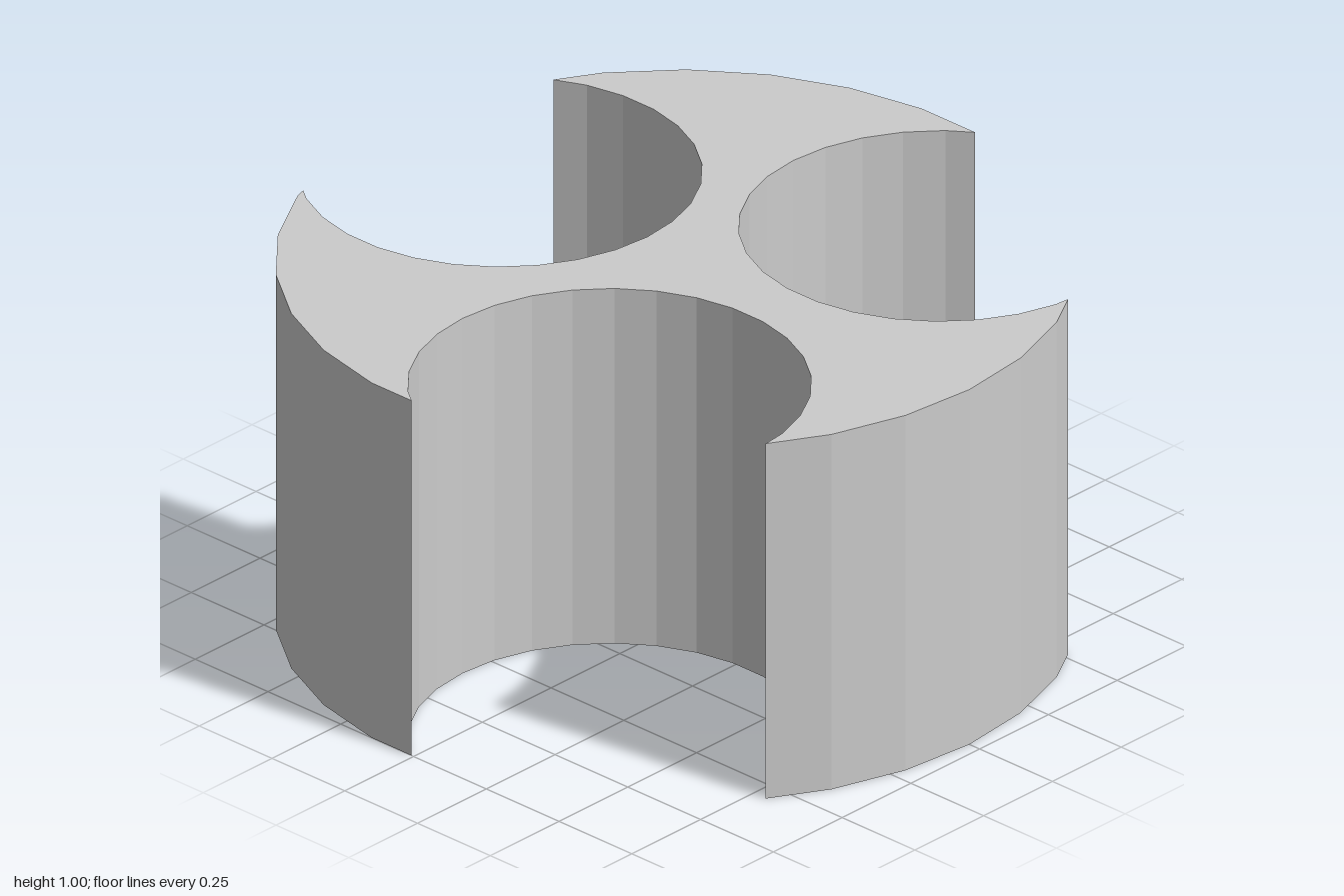
import * as THREE from 'three';

const SIDES = 30;
const STEP = (Math.PI * 2) / SIDES;
const HEIGHT = 1.005;

// Drum outline and the three round bites, counterclockwise (plan y = -z)
const drum = { x: -0.04, y: 0, r: 1.005 };
const bites = [
  { x: 0.317, y: 0.58, r: 0.505 },
  { x: -0.68, y: 0.035, r: 0.505 },
  { x: 0.291, y: -0.595, r: 0.505 },
];

// Corner k of a 30-sided circle
const corner = (c, k) => new THREE.Vector2(
  c.x + c.r * Math.cos(k * STEP), c.y + c.r * Math.sin(k * STEP));

// Is p within the 30-sided circle?
function inside(c, p) {
  for (let k = 0; k < SIDES; k++) {
    const a = (k + 0.5) * STEP;
    const d = (p.x - c.x) * Math.cos(a) + (p.y - c.y) * Math.sin(a);
    if (d > c.r * Math.cos(STEP / 2)) return false;
  }
  return true;
}

// Point where the segment a-b crosses the drum's rim
function rimPoint(a, b) {
  const startIn = inside(drum, a);
  let lo = 0, hi = 1;
  for (let i = 0; i < 30; i++) {
    const mid = (lo + hi) / 2;
    if (inside(drum, a.clone().lerp(b, mid)) === startIn) lo = mid; else hi = mid;
  }
  return a.clone().lerp(b, lo);
}

const stepOf = (p) => Math.atan2(p.y - drum.y, p.x - drum.x) / STEP;

// Concave edge of one bite, from sharp tip to sharp tip
function biteArc(bite) {
  const start = Math.round(stepOf(bite));
  const points = [];
  for (let i = 0; i < SIDES; i++) {
    const a = corner(bite, start - i), b = corner(bite, start - i - 1);
    const aIn = inside(drum, a), bIn = inside(drum, b);
    if (aIn) points.push(a);
    if (aIn !== bIn) points.push(rimPoint(a, b));
  }
  return points;
}

function rotorOutline() {
  const arcs = bites.map(biteArc);
  const points = [];
  arcs.forEach((arc, i) => {
    points.push(...arc);
    // Rim corners between this bite and the next
    const from = stepOf(arc[arc.length - 1]);
    let to = stepOf(arcs[(i + 1) % arcs.length][0]);
    if (to < from) to += SIDES;
    for (let k = Math.ceil(from + 0.01); k < to - 0.01; k++) points.push(corner(drum, k));
  });
  return points;
}

export function createModel() {
  const group = new THREE.Group();
  group.name = 'threeLobedRotor';

  // Three crescent lobes joined by a waisted hub, extruded upward
  const geometry = new THREE.ExtrudeGeometry(new THREE.Shape(rotorOutline()), {
    depth: HEIGHT, bevelEnabled: false, steps: 1,
  });
  geometry.rotateX(-Math.PI / 2);
  const rotor = new THREE.Mesh(geometry,
    new THREE.MeshStandardMaterial({ color: 0xcccccc, flatShading: true }));
  rotor.name = 'rotorBody';
  group.add(rotor);
  return group;
}
